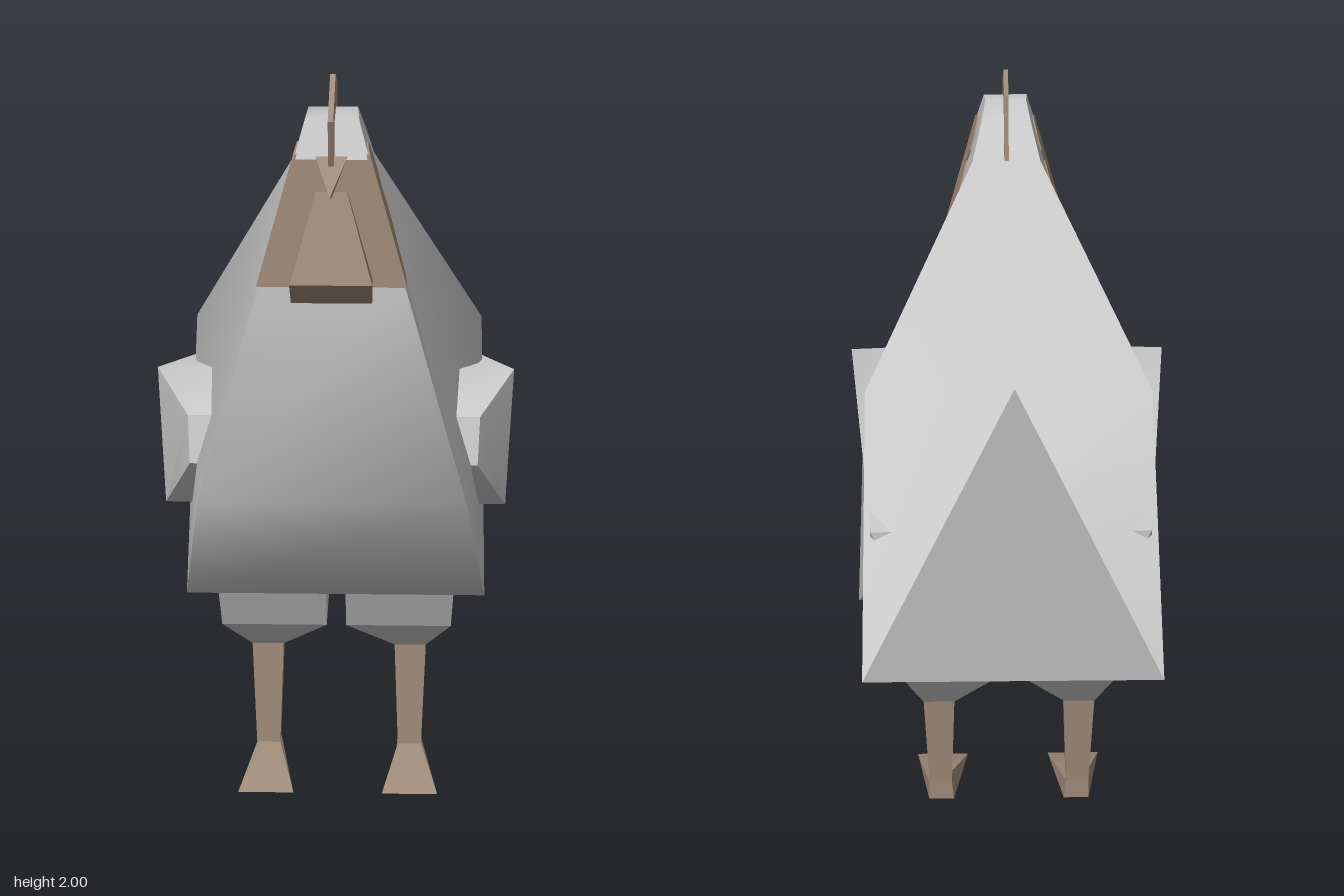
import * as THREE from 'three';
import { toCreasedNormals } from 'three/addons/utils/BufferGeometryUtils.js';

const plumage = new THREE.MeshStandardMaterial({ color: 0xc8c8c8 });
plumage.name = 'plumage grey';
const skin = new THREE.MeshStandardMaterial({ color: 0xa08b79 });
skin.name = 'skin brown';

// Mesh from a list of triangles, each three [x, y, z] corners
function facetMesh(name, tris, material, crease = 0.5) {
  const geo = new THREE.BufferGeometry();
  geo.setAttribute('position', new THREE.Float32BufferAttribute(tris.flat(2), 3));
  const mesh = new THREE.Mesh(toCreasedNormals(geo, crease), material);
  mesh.name = name;
  return mesh;
}

const quad = (a, b, c, d) => [[a, b, c], [a, c, d]];

// Solid from a side profile of [z, y, leftX, rightX], listed front, top, back, bottom
function prism(profile, sideTris, skip = -1) {
  const left = profile.map(([z, y, l]) => [l, y, z]);
  const right = profile.map(([z, y, , r]) => [r, y, z]);
  const flat = profile.map(([z, y]) => new THREE.Vector2(z, y));
  const tris = [];
  for (const [a, b, c] of sideTris || THREE.ShapeUtils.triangulateShape(flat, [])) {
    const area = THREE.ShapeUtils.area([flat[a], flat[b], flat[c]]);
    const [p, q] = area > 0 ? [b, c] : [c, b];
    tris.push([right[a], right[p], right[q]], [left[a], left[q], left[p]]);
  }
  profile.forEach((_, i) => {
    const j = (i + 1) % profile.length;
    if (i !== skip) tris.push(...quad(right[i], left[i], left[j], right[j]));
  });
  return tris;
}

// Solid from four-sided sections [y, x0, x1, zBack, zFront, backInset], top to bottom
function loft(sections) {
  const rings = sections.map(([y, x0, x1, z0, z1, inset = 0]) =>
    [[x0, y, z1], [x1, y, z1], [x1 - inset, y, z0], [x0 + inset, y, z0]]);
  const tris = [...quad(...rings[0])];
  for (let s = 0; s + 1 < rings.length; s++) {
    const up = rings[s], low = rings[s + 1];
    for (let i = 0; i < 4; i++) {
      const j = (i + 1) % 4;
      tris.push(...quad(low[i], low[j], up[j], up[i]));
    }
  }
  return tris.concat(quad(...rings[rings.length - 1].slice().reverse()));
}

// Half width of the head and neck at a height
const headX = (y) => 0.31 - 0.288 * (y - 1.04);

export function createModel() {
  const model = new THREE.Group();
  model.name = 'hen';

  // Body, neck and tail in one hull
  const hull = [
    [0.71, 1.04], [0.71, 1.55], [0.70, 1.83], [0.66, 1.91], [0.55, 1.925],
    [0.46, 1.87], [0.40, 1.80], [0, 1.31, 0.375], [-0.46, 1.18, 0.12],
    [-0.83, 1.70, 0.001], [-0.73, 0.90, 0.355], [-0.22, 0.61, 0.335], [0.41, 0.69, 0.375],
  ].map(([z, y, w = headX(y)]) => [z, y, w, -w]);
  const hullSides = [
    [0, 1, 2], [0, 2, 3], [0, 3, 4], [0, 4, 5], [0, 5, 6], [0, 6, 7],
    [0, 7, 12], [12, 7, 11], [11, 7, 10], [7, 8, 10], [8, 9, 10],
  ];
  model.add(facetMesh('body', prism(hull, hullSides, 1), plumage, 0.8));

  // Bare front of the face, filling the gap in the hull
  const [low, high] = [hull[1], hull[2]];
  model.add(facetMesh('face', quad(
    [low[3], low[1], low[0]], [low[2], low[1], low[0]],
    [high[2], high[1], high[0]], [high[3], high[1], high[0]]), skin));

  // Beak
  const tip = [0, 1.77, 0.83], bl = [0.037, 1.84, 0.69], br = [-0.037, 1.84, 0.69], bb = [0, 1.745, 0.70];
  model.add(facetMesh('beak', [[br, tip, bl], [bl, tip, bb], [bb, tip, br], [br, bl, bb]], skin));

  // Wattle
  model.add(facetMesh('wattle', loft([
    [1.76, -0.035, 0.035, 0.68, 0.72],
    [1.57, -0.09, 0.09, 0.67, 0.78],
    [1.51, -0.09, 0.09, 0.68, 0.705],
  ]), skin));

  // Comb
  const comb = [
    [0.73, 1.82], [0.77, 1.92], [0.58, 2.0], [0.42, 1.97], [0.40, 1.79], [0.55, 1.85], [0.66, 1.80],
  ].map(([z, y]) => [z, y, 0.006, -0.006]);
  model.add(facetMesh('comb', prism(comb), skin));

  const cheek = [
    [0.707, 1.55], [0.70, 1.84], [0.65, 1.855], [0.60, 1.855], [0.56, 1.83], [0.55, 1.785],
    [0.57, 1.75], [0.545, 1.70], [0.54, 1.675], [0.57, 1.625], [0.615, 1.56], [0.65, 1.55],
  ];
  // Wing profile with its outer and inner x
  const wing = [
    [0.57, 1.09, 0.34, 0.22], [0.54, 1.20, 0.345, 0.22], [0.37, 1.27, 0.435, 0.22],
    [-0.405, 1.12, 0.345, 0.15], [-0.405, 1.0, 0.30, 0.15],
    [-0.13, 0.755, 0.405, 0.25], [0.41, 0.935, 0.42, 0.25],
  ];
  const wingSides = [[6, 0, 1], [6, 1, 2], [6, 2, 3], [6, 3, 5], [5, 3, 4]];

  for (const side of [1, -1]) {
    const label = side > 0 ? 'left' : 'right';
    const sided = (profile) => profile.map(([z, y, out, inn]) =>
      side > 0 ? [z, y, out, inn] : [z, y, -inn, -out]);
    const span = ([y, x0, x1, ...rest]) =>
      side > 0 ? [y, x0, x1, ...rest] : [y, -x1, -x0, ...rest];

    // Cheek patch lying on the side of the head
    const patch = cheek.map(([z, y]) => [z, y, headX(y) + 0.004, headX(y) - 0.004]);
    model.add(facetMesh(label + 'Cheek', prism(sided(patch)), skin));

    model.add(facetMesh(label + 'Wing', prism(sided(wing), wingSides), plumage, 0.6));

    // Thigh, shank and foot
    model.add(facetMesh(label + 'Thigh', loft([
      [0.69, 0.025, 0.30, -0.22, 0.37],
      [0.56, 0.025, 0.297, -0.21, 0.31],
      [0.37, 0.155, 0.242, -0.06, 0.015],
    ].map(span)), plumage));
    model.add(facetMesh(label + 'Shank', loft([
      [0.37, 0.155, 0.242, -0.06, 0.015],
      [0.065, 0.167, 0.233, -0.03, 0.02],
    ].map(span)), skin));
    model.add(facetMesh(label + 'Foot', loft([
      [0.065, 0.167, 0.233, -0.03, 0.02],
      [0, 0.122, 0.275, -0.028, 0.19, 0.04],
    ].map(span)), skin));
  }
  return model;
}
